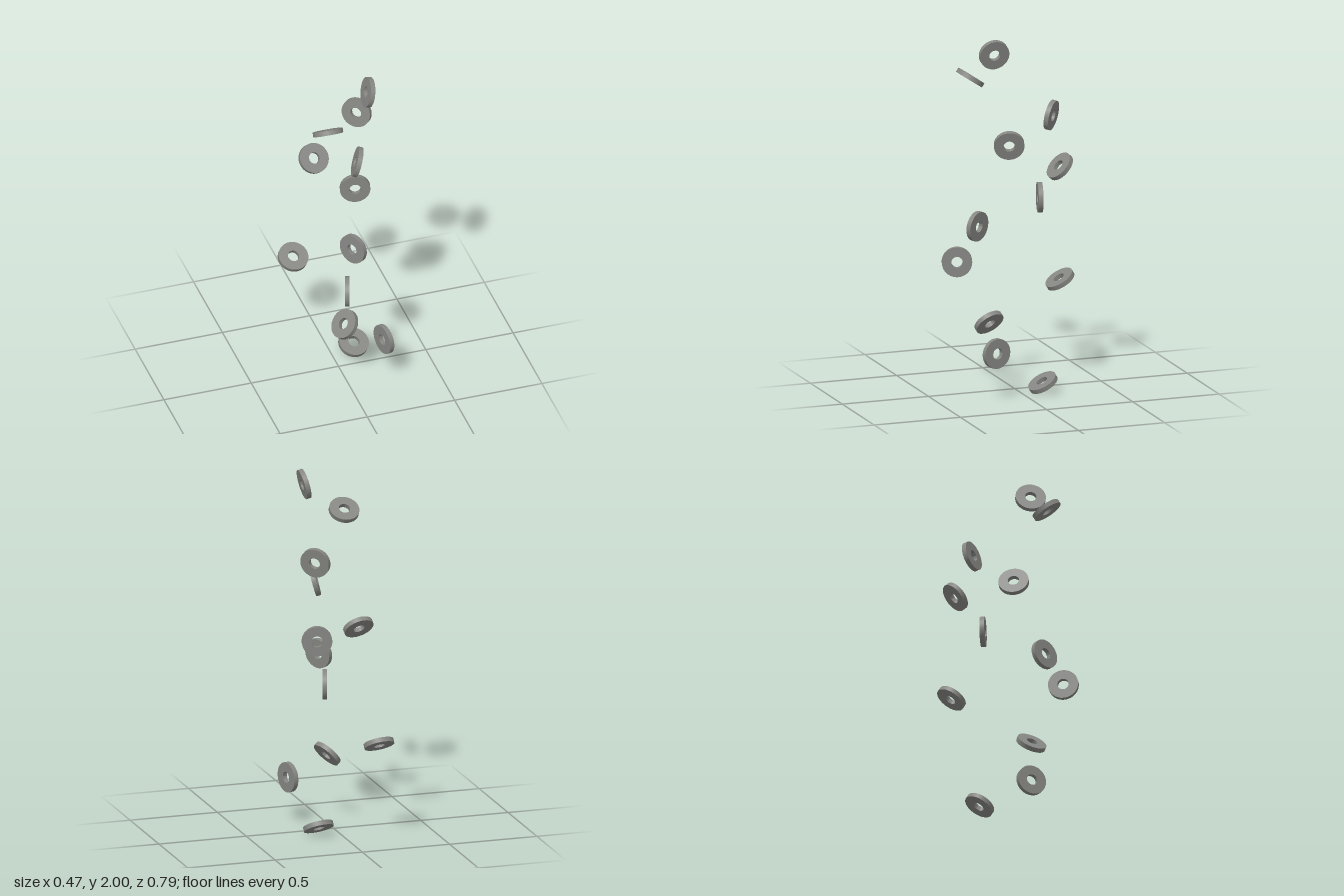
import * as THREE from 'three';
import { toCreasedNormals } from 'three/addons/utils/BufferGeometryUtils.js';

const OUTER = 0.083, INNER = 0.031, HALF = 0.013;

// Each ring: centre, then the direction its axis points
const RINGS = [
  [[0.115, 1.916, 0.162], [0.97, -0.23, 0.05]],
  [[-0.13, 1.735, 0.21], [0, 0.83, -0.55]],
  [[0.155, 1.56, -0.155], [-0.63, 0.17, 0.76]],
  [[0.086, 1.392, 0.064], [0.92, -0.27, 0.28]],
  [[-0.05, 1.213, -0.28], [0.11, 0.67, 0.73]],
  [[0.127, 1.098, -0.098], [-0.25, 0, 0.965]],
  [[0.012, 0.935, 0.221], [-0.83, 0.08, 0.55]],
  [[-0.054, 0.728, 0.315], [0.95, 0, 0.31]],
  [[-0.155, 0.553, -0.319], [0.05, 0.85, 0.53]],
  [[-0.012, 0.385, 0.145], [-0.73, 0.64, 0.24]],
  [[0.201, 0.262, 0.18], [0.965, 0, -0.26]],
  [[0.125, 0.056, -0.117], [0.07, 0.86, 0.5]],
];

// Flat washer with a rectangular section, axis along y
function ringGeometry() {
  const profile = [
    [INNER, -HALF], [OUTER, -HALF], [OUTER, HALF], [INNER, HALF], [INNER, -HALF],
  ].map(([x, y]) => new THREE.Vector2(x, y));
  return toCreasedNormals(new THREE.LatheGeometry(profile, 48), 0.6);
}

export function createModel() {
  const model = new THREE.Group();
  model.name = 'floatingRings';
  const grey = new THREE.MeshStandardMaterial({ color: 0x868783 });
  grey.name = 'stone grey';
  const geometry = ringGeometry();
  const up = new THREE.Vector3(0, 1, 0);

  // Loose spiral of tumbling rings, from top to bottom
  RINGS.forEach(([centre, axis], i) => {
    const ring = new THREE.Mesh(geometry, grey);
    ring.name = `ring${i + 1}`;
    ring.position.set(...centre);
    ring.quaternion.setFromUnitVectors(up, new THREE.Vector3(...axis).normalize());
    model.add(ring);
  });
  return model;
}
